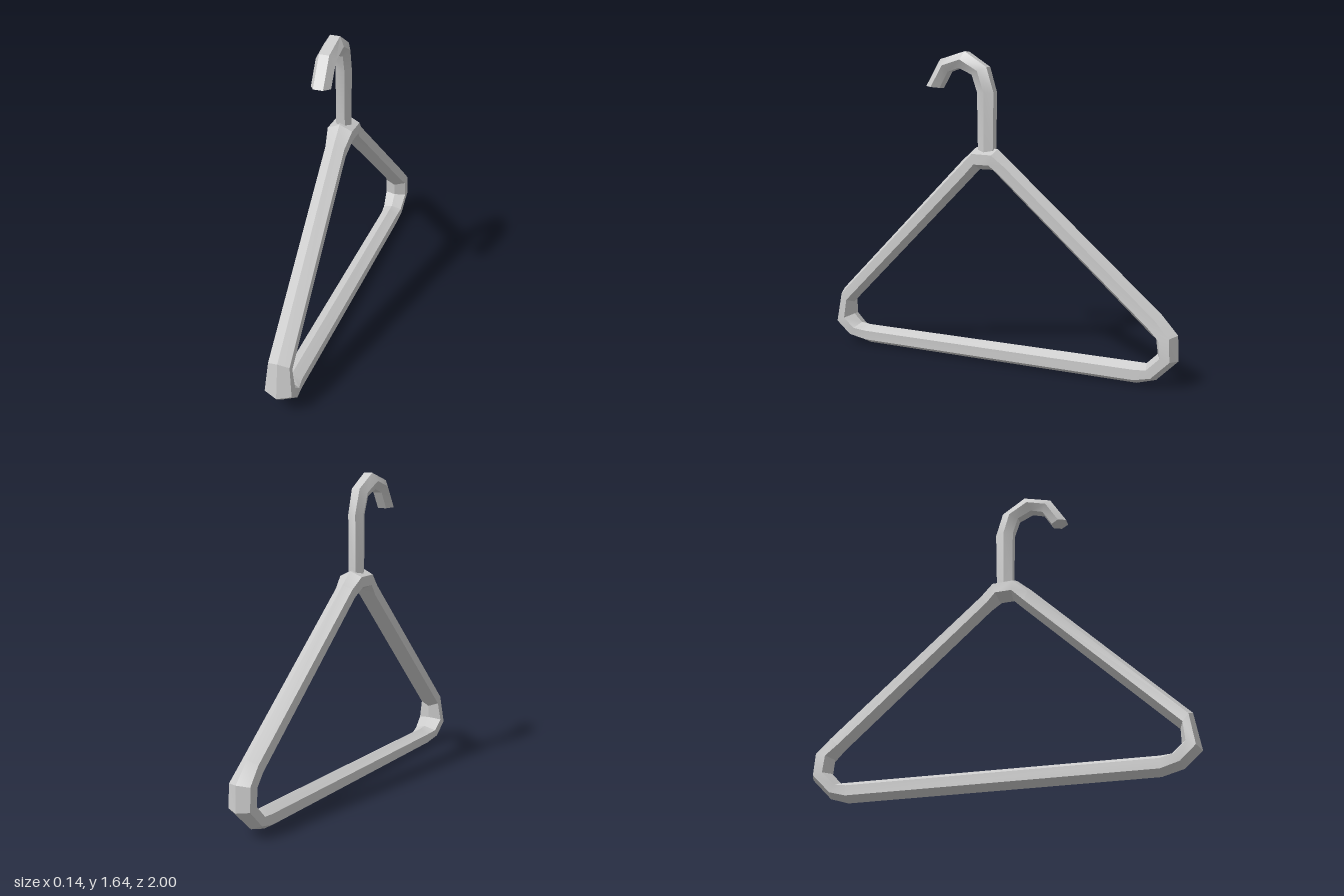
import * as THREE from 'three';
import { toCreasedNormals } from 'three/addons/utils/BufferGeometryUtils.js';

// Hexagonal sections: [share of half width, share of the way from outer to inner edge]
const RIDGE_OUT = [[0, 0], [1, 0.26], [1, 0.74], [0, 1], [-1, 0.74], [-1, 0.26]];
const FLAT_OUT = [[-0.5, 0], [0.5, 0], [1, 0.5], [0.5, 1], [-0.5, 1], [-1, 0.5]];

// Lofts a section along rings of [outer z, outer y, inner z, inner y, half width]
function loft(rings, section, closed) {
  const pos = [], index = [];
  const n = section.length, m = rings.length;
  for (const [oz, oy, iz, iy, w] of rings) {
    for (const [sx, t] of section) pos.push(sx * w, oy + (iy - oy) * t, oz + (iz - oz) * t);
  }
  for (let i = 0; i < (closed ? m : m - 1); i++) {
    for (let j = 0; j < n; j++) {
      const k = (j + 1) % n, next = ((i + 1) % m) * n;
      const a = i * n + j, b = next + j, c = next + k, d = i * n + k;
      index.push(a, b, c, a, c, d);
    }
  }
  if (!closed) {
    const e = (m - 1) * n;
    for (let j = 1; j < n - 1; j++) index.push(0, j, j + 1, e, e + j + 1, e + j);
  }
  const g = new THREE.BufferGeometry();
  g.setAttribute('position', new THREE.Float32BufferAttribute(pos, 3));
  g.setIndex(index);
  return toCreasedNormals(g, 0.45);
}

export function createModel() {
  const group = new THREE.Group();
  group.name = 'coatHanger';
  const material = new THREE.MeshStandardMaterial({ color: 0xcccccc });
  const add = (name, geometry) => {
    const mesh = new THREE.Mesh(geometry, material);
    mesh.name = name;
    group.add(mesh);
  };

  // Triangular frame: neck, front arm, front corner, bar, back corner, back arm
  add('frame', loft([
    [0.11, 1.155, 0.09, 1.04, 0.065],
    [0.19, 1.085, 0.15, 0.98, 0.05],
    [0.97, 0.31, 0.905, 0.235, 0.055],
    [1.0, 0.12, 0.905, 0.165, 0.07],
    [0.91, 0.04, 0.855, 0.12, 0.065],
    [0.8, 0.01, 0.8, 0.115, 0.05],
    [-0.79, 0.01, -0.79, 0.12, 0.05],
    [-0.89, 0.04, -0.84, 0.12, 0.055],
    [-1.0, 0.15, -0.895, 0.175, 0.062],
    [-0.995, 0.28, -0.885, 0.25, 0.06],
    [-0.91, 0.375, -0.835, 0.29, 0.05],
    [-0.09, 1.085, -0.03, 1.0, 0.05],
    [-0.015, 1.15, 0.015, 1.04, 0.065],
  ], RIDGE_OUT, true));

  // Stem rising from the neck and bending forward into the hook
  add('hook', loft([
    [0.005, 1.08, 0.09, 1.08, 0.042],
    [0.0, 1.44, 0.095, 1.44, 0.042],
    [0.04, 1.57, 0.125, 1.53, 0.047],
    [0.165, 1.65, 0.2, 1.565, 0.05],
    [0.31, 1.61, 0.265, 1.545, 0.05],
    [0.395, 1.47, 0.315, 1.46, 0.05],
  ], FLAT_OUT, false));

  return group;
}
